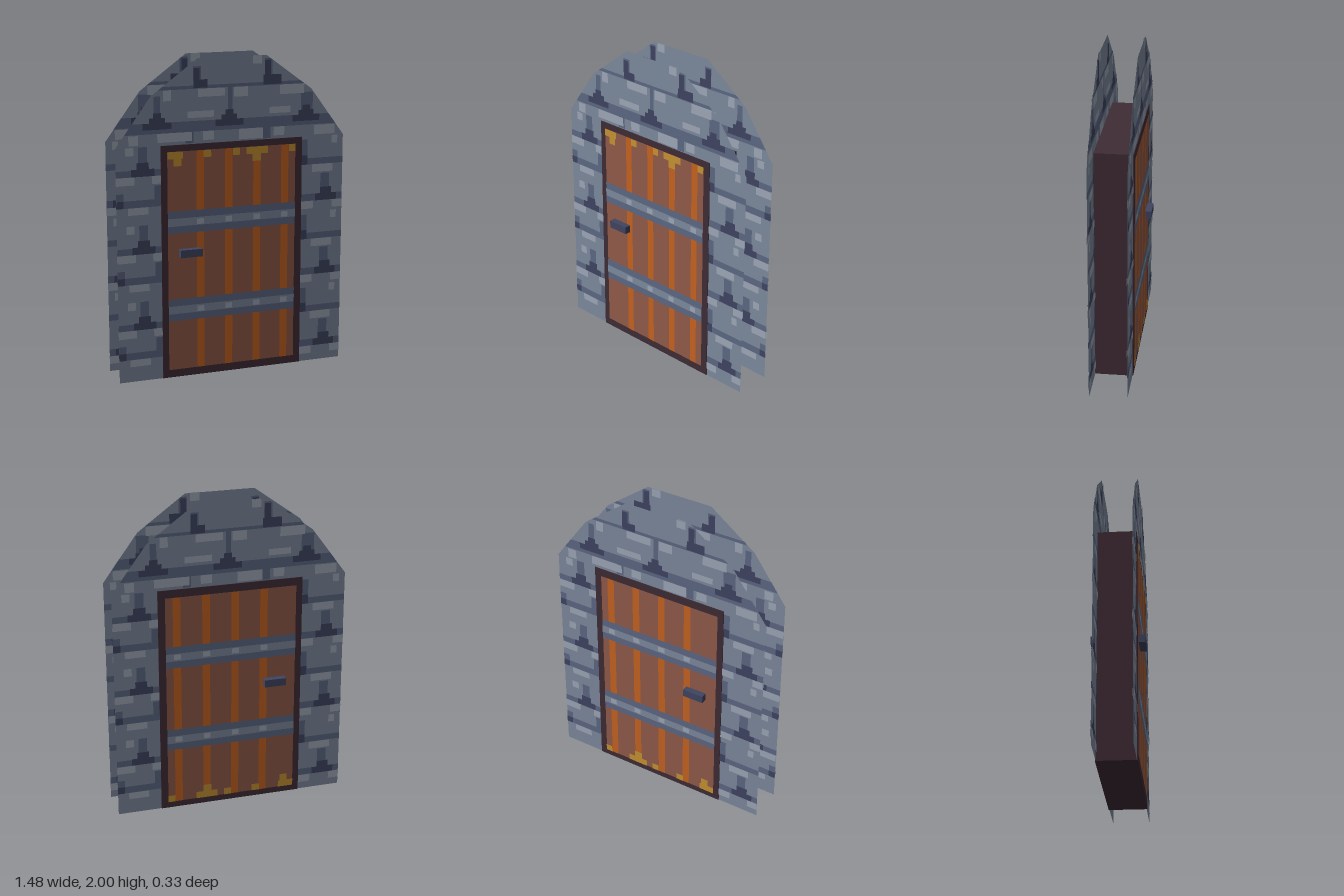
import * as THREE from 'three';
import { mergeGeometries } from 'three/addons/utils/BufferGeometryUtils.js';

const mat = (name, color) => new THREE.MeshStandardMaterial({ name, color, side: THREE.DoubleSide });

// Outline of the stone arch, counter-clockwise
const ARCH = [[-0.74, 0], [0.74, 0], [0.74, 1.48], [0.52, 1.78], [0.22, 2], [-0.22, 2], [-0.52, 1.78], [-0.74, 1.48]];

// Cuts a polygon to the convex arch outline
function clip(poly) {
  ARCH.forEach((a, i) => {
    const b = ARCH[(i + 1) % ARCH.length];
    const side = p => (b[0] - a[0]) * (p[1] - a[1]) - (b[1] - a[1]) * (p[0] - a[0]);
    const out = [];
    poly.forEach((p, j) => {
      const q = poly[(j + 1) % poly.length], sp = side(p), sq = side(q);
      if (sp >= 0) out.push(p);
      if (sp * sq < 0) {
        const t = sp / (sp - sq);
        out.push([p[0] + t * (q[0] - p[0]), p[1] + t * (q[1] - p[1])]);
      }
    });
    poly = out;
  });
  return poly;
}

const flat = (poly, z) =>
  new THREE.ShapeGeometry(new THREE.Shape(poly.map(p => new THREE.Vector2(...p)))).translate(0, 0, z);

// Flat patches from rectangles [x0, x1, y0, y1], merged into one mesh
function patches(name, rects, material, zs) {
  const geos = [];
  for (const [x0, x1, y0, y1] of rects) {
    const poly = clip([[x0, y0], [x1, y0], [x1, y1], [x0, y1]]);
    if (poly.length > 2) for (const z of zs) geos.push(flat(poly, z));
  }
  const mesh = new THREE.Mesh(mergeGeometries(geos), material);
  mesh.name = name;
  return mesh;
}

export function createModel() {
  const stone = mat('stone', 0x7e8b9f), mortar = mat('mortar', 0x5d6985);
  const shadow = mat('deep joint', 0x404562), chip = mat('pale stone', 0xa0a9b9);
  const frame = mat('dark frame', 0x402c35), wood = mat('wood', 0x925b4a);
  const orange = mat('orange wood', 0xc86420), gold = mat('gold', 0xc89332);

  const model = new THREE.Group();
  model.name = 'archedDoor';

  // Brick pattern of the arch above the door
  const joints = [
    [-0.74, 0.74, 1.555, 1.62], [-0.5, 0.5, 1.815, 1.835],
    [-0.25, -0.2, 1.83, 1.95], [0.21, 0.26, 1.83, 1.98],
    [-0.5, -0.46, 1.62, 1.78], [-0.03, 0.0, 1.62, 1.82], [0.45, 0.53, 1.62, 1.76],
    [-0.3, -0.25, 1.485, 1.555], [0.2, 0.25, 1.485, 1.555],
  ];
  const deep = [
    [-0.25, -0.21, 1.86, 1.94], [-0.25, -0.16, 1.82, 1.87], [0.21, 0.25, 1.87, 1.97], [0.2, 0.32, 1.82, 1.88],
  ];
  for (const x of [-0.48, -0.02, 0.485])
    deep.push([x - 0.09, x + 0.09, 1.58, 1.62], [x - 0.05, x + 0.05, 1.62, 1.65], [x - 0.025, x + 0.025, 1.65, 1.68]);
  const chips = [
    [0.13, 0.19, 1.95, 2], [-0.44, -0.39, 1.75, 1.815], [-0.22, -0.05, 1.765, 1.815],
    [0.01, 0.1, 1.755, 1.815], [0.31, 0.47, 1.755, 1.815], [-0.29, -0.12, 1.64, 1.68], [0.24, 0.38, 1.64, 1.68],
    [-0.66, -0.6, 1.49, 1.55], [-0.48, -0.26, 1.5, 1.555], [-0.19, -0.12, 1.5, 1.555],
    [0.04, 0.2, 1.49, 1.555], [0.27, 0.34, 1.5, 1.555], [0.54, 0.68, 1.49, 1.55],
  ];

  // Repeating brick courses beside the door
  for (let k = 0; k < 3; k++) {
    const y = 1.3 - 0.483 * k, w = y - 0.19;
    joints.push([-0.74, -0.46, y, y + 0.04], [-0.6, -0.545, y, y + 0.18], [-0.74, -0.46, w, w + 0.045],
      [-0.74, -0.695, w, w + 0.09], [-0.5, -0.46, w, w + 0.13],
      [0.46, 0.74, w - 0.045, w], [0.59, 0.65, w, w + 0.13], [0.46, 0.74, y, y + 0.04], [0.46, 0.5, y, y + 0.16]);
    deep.push([-0.645, -0.5, y, y + 0.045], [-0.61, -0.535, y + 0.045, y + 0.085], [-0.74, -0.695, w, w + 0.045],
      [0.555, 0.7, w - 0.045, w], [0.59, 0.665, w, w + 0.04], [0.46, 0.5, y, y + 0.06]);
    chips.push([-0.74, -0.625, y - 0.05, y], [-0.515, -0.46, y - 0.05, y], [-0.67, -0.54, w - 0.045, w],
      [0.46, 0.54, w - 0.095, w - 0.045], [0.67, 0.74, w - 0.095, w - 0.045], [0.53, 0.67, y - 0.05, y],
      [-0.68, -0.63, y + 0.13, y + 0.18], [0.66, 0.7, y + 0.13, y + 0.18]);
  }

  // Two stone sheets, patterned on both faces; the rear one is turned around
  const layers = n => [0.117 + n * 0.0015, 0.117 - n * 0.0015];
  for (const name of ['frontWall', 'backWall']) {
    const wall = new THREE.Group();
    wall.name = name;
    const sheet = new THREE.Mesh(flat(ARCH, 0.117), stone);
    sheet.name = 'stoneSheet';
    wall.add(sheet,
      patches('mortarLines', joints, mortar, layers(1)),
      patches('deepJoints', deep, shadow, layers(2)),
      patches('paleChips', chips, chip, layers(3)));
    if (name === 'backWall') wall.rotation.y = Math.PI;
    model.add(wall);
  }

  // Door block whose dark rim forms the frame
  const block = new THREE.Mesh(new THREE.BoxGeometry(0.92, 1.48, 0.244), frame);
  block.name = 'doorFrame';
  block.position.y = 0.74;
  model.add(block);

  // Door faces: planks, metal straps and gold trim; the rear face is upside down
  const stripes = [-0.235, -0.05, 0.135, 0.32];
  const straps = [0.37, 0.93];
  const trim = [
    [-0.42, -0.32, 1.395, 1.44], [-0.38, -0.33, 1.35, 1.395], [-0.19, -0.14, 1.395, 1.44],
    [0, 0.045, 1.395, 1.44], [0.09, 0.23, 1.395, 1.44], [0.13, 0.185, 1.35, 1.395], [0.37, 0.415, 1.395, 1.44],
  ];
  for (const name of ['frontDoorFace', 'backDoorFace']) {
    const face = new THREE.Group();
    face.name = name;
    const z = n => [0.122 + n * 0.0015];
    face.add(
      patches('planks', [[-0.42, 0.415, 0.05, 1.44]], wood, z(1)),
      patches('plankStripes', stripes.map(x => [x, x + 0.048, 0.05, 1.44]), orange, z(2)),
      patches('goldTrim', trim, gold, z(3)),
      patches('straps', straps.map(y => [-0.42, 0.415, y, y + 0.14]), mortar, z(3)),
      patches('strapCentres', straps.map(y => [-0.42, 0.415, y + 0.045, y + 0.095]), stone, z(4)),
      patches('strapStuds', straps.flatMap(y => stripes.map(x => [x, x + 0.045, y + 0.05, y + 0.085])), chip, z(5)));
    if (name === 'backDoorFace') {
      face.rotation.x = Math.PI;
      face.position.y = 1.48;
    }
    model.add(face);
  }

  // Handles on both sides
  for (const s of [1, -1]) {
    const handle = new THREE.Mesh(new THREE.BoxGeometry(0.14, 0.048, 0.041), shadow);
    handle.name = s > 0 ? 'frontHandle' : 'backHandle';
    handle.position.set(-0.28, 0.806, s * 0.1445);
    model.add(handle);
  }
  return model;
}
